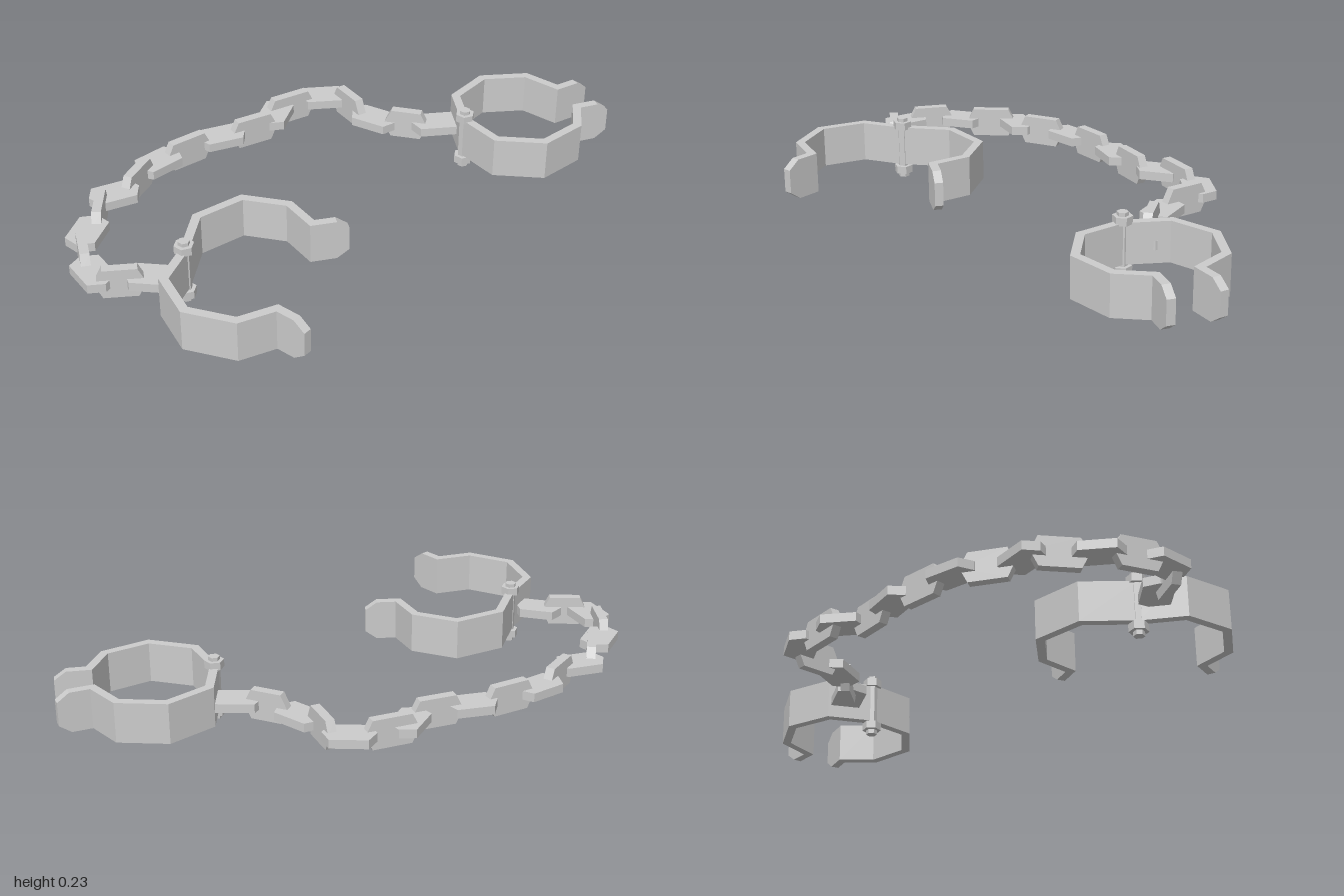
import * as THREE from 'three';

const material = new THREE.MeshStandardMaterial({ color: 0xcccccc, flatShading: true, side: THREE.DoubleSide });

function addMesh(parent, name, geometry) {
  const mesh = new THREE.Mesh(geometry, material);
  mesh.name = name;
  parent.add(mesh);
  return mesh;
}

// Flat band standing on edge along an [x, z] path, with a chamfered far tip
function bandGeometry(path, bottom = 0.05, top = 0.195, thickness = 0.03, chamfer = 0.03) {
  const pts = path.map(([x, z]) => new THREE.Vector2(x, z));
  const end = pts[pts.length - 1];
  const back = pts[pts.length - 2].clone().sub(end).setLength(0.042);
  pts.splice(pts.length - 1, 0, end.clone().add(back));
  const last = pts.length - 1;
  const positions = [];
  const indices = [];

  pts.forEach((p, i) => {
    // Mitred sideways offset
    const d0 = p.clone().sub(pts[Math.max(i - 1, 0)]).normalize();
    const d1 = pts[Math.min(i + 1, last)].clone().sub(p).normalize();
    const a = i === 0 ? d1 : d0;
    const b = i === last ? d0 : d1;
    const t = a.clone().add(b).normalize();
    const w = thickness / 2 / t.dot(b);
    const nx = -t.y * w, nz = t.x * w;
    const c = i === last ? chamfer : 0;
    positions.push(
      p.x - nx, bottom + c, p.y - nz, p.x + nx, bottom + c, p.y + nz,
      p.x + nx, top - c, p.y + nz, p.x - nx, top - c, p.y - nz);
    if (i === 0) return;
    for (let j = 0; j < 4; j++) {
      const k = (j + 1) % 4, A = (i - 1) * 4, B = i * 4;
      indices.push(A + j, B + j, B + k, A + j, B + k, A + k);
    }
  });
  const e = last * 4;
  indices.push(0, 1, 2, 0, 2, 3, e, e + 2, e + 1, e, e + 3, e + 2);

  const indexed = new THREE.BufferGeometry();
  indexed.setAttribute('position', new THREE.Float32BufferAttribute(positions, 3));
  indexed.setIndex(indices);
  const geometry = indexed.toNonIndexed();
  geometry.computeVertexNormals();
  return geometry;
}

// Open cuff: two arms meeting at a hinge pin
function createCuff(name, hinge, armA, armB) {
  const cuff = new THREE.Group();
  cuff.name = name;
  addMesh(cuff, 'cuffArm', bandGeometry([hinge, ...armA]));
  addMesh(cuff, 'cuffArm', bandGeometry([hinge, ...armB]));

  const pin = new THREE.Group();
  pin.name = 'hingePin';
  pin.position.set(hinge[0], 0, hinge[1]);
  addMesh(pin, 'pinShaft', new THREE.CylinderGeometry(0.02, 0.02, 0.23, 6)).position.y = 0.115;
  for (const y of [0.03, 0.203]) {
    addMesh(pin, 'pinNut', new THREE.CylinderGeometry(0.034, 0.034, 0.028, 6)).position.y = y;
  }
  cuff.add(pin);
  return cuff;
}

// Elongated hexagonal chain plate, long along x and thin along z
function linkGeometry(length) {
  const h = length / 2, f = h - 0.026, w = 0.053, t = 0.032;
  const shape = new THREE.Shape([[h, 0], [f, w], [-f, w], [-h, 0], [-f, -w], [f, -w]]
    .map(([x, y]) => new THREE.Vector2(x, y)));
  return new THREE.ExtrudeGeometry(shape, { depth: t, bevelEnabled: false }).translate(0, 0, -t / 2);
}

export function createModel() {
  const model = new THREE.Group();
  model.name = 'shackles';

  model.add(createCuff('rightCuff', [-0.74, -0.01],
    [[-0.58, -0.108], [-0.405, -0.066], [-0.333, 0.08], [-0.37, 0.21], [-0.272, 0.283]],
    [[-0.89, 0.045], [-0.96, 0.2], [-0.897, 0.358], [-0.775, 0.413], [-0.775, 0.532]]));
  model.add(createCuff('leftCuff', [0.475, 0.215],
    [[0.585, 0.096], [0.755, 0.096], [0.873, 0.213], [0.873, 0.353], [0.99, 0.393]],
    [[0.435, 0.38], [0.53, 0.523], [0.695, 0.55], [0.803, 0.48], [0.905, 0.542]]));

  // Chain: end points x0, z0, x1, z1 of each link, flat and upright in turn
  const links = [
    [-0.885, -0.14, -0.79, 0.005], [-0.97, -0.19, -0.85, -0.075],
    [-0.965, -0.14, -0.915, -0.31], [-0.945, -0.25, -0.84, -0.39],
    [-0.88, -0.365, -0.72, -0.435], [-0.765, -0.395, -0.62, -0.515],
    [-0.67, -0.53, -0.505, -0.455], [-0.555, -0.475, -0.38, -0.525],
    [-0.435, -0.53, -0.255, -0.51], [-0.31, -0.52, -0.13, -0.48],
    [-0.16, -0.505, 0, -0.42], [-0.05, -0.445, 0.12, -0.38],
    [0.08, -0.38, 0.24, -0.45], [0.15, -0.445, 0.33, -0.38],
    [0.305, -0.42, 0.435, -0.295], [0.415, -0.33, 0.365, -0.165],
    [0.37, -0.215, 0.4, -0.035], [0.39, -0.08, 0.46, 0.065],
    [0.42, 0.02, 0.56, 0.15],
  ];
  const chain = new THREE.Group();
  chain.name = 'chain';
  links.forEach(([x0, z0, x1, z1], i) => {
    const flat = i % 2 === 0;
    const geometry = linkGeometry(Math.hypot(x1 - x0, z1 - z0));
    if (flat) geometry.rotateX(Math.PI / 2);
    const link = addMesh(chain, flat ? 'flatLink' : 'uprightLink', geometry);
    link.position.set((x0 + x1) / 2, i === 16 ? 0.1 : 0.112, (z0 + z1) / 2);
    link.rotation.y = -Math.atan2(z1 - z0, x1 - x0);
  });
  model.add(chain);
  return model;
}
